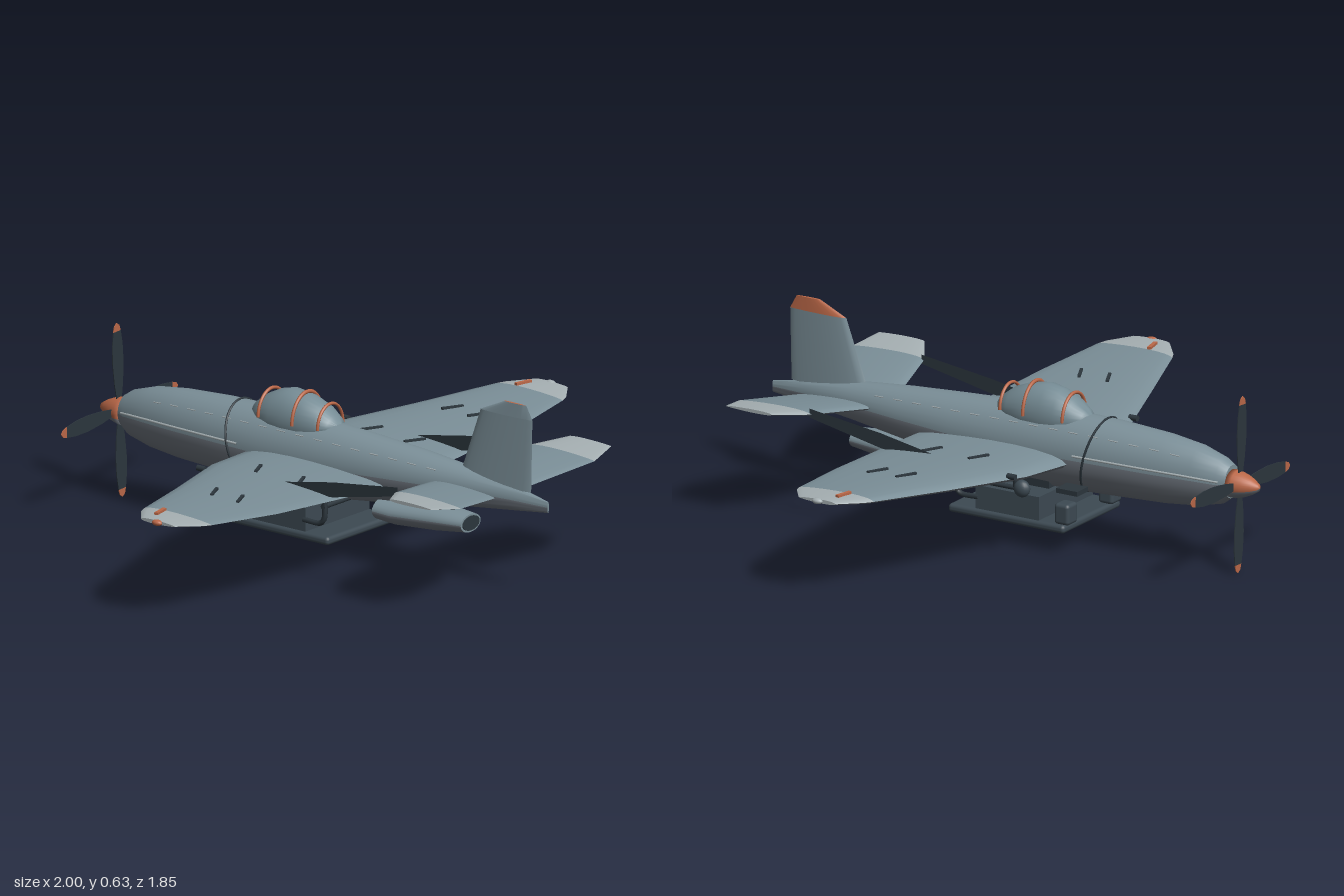
import * as THREE from 'three';
import { toCreasedNormals } from 'three/addons/utils/BufferGeometryUtils.js';
import { RoundedBoxGeometry } from 'three/addons/geometries/RoundedBoxGeometry.js';

const paint = (name, color) => Object.assign(new THREE.MeshStandardMaterial({ color }), { name });
const UP = new THREE.Vector3(0, 1, 0), LEFT = new THREE.Vector3(1, 0, 0);

export function createModel() {
  const model = new THREE.Group();
  model.name = 'propellerAircraft';
  const grey = paint('bodyGrey', 0x7b8f98);
  const under = paint('undersideGrey', 0x6e757e);
  const pale = paint('tipPaleGrey', 0xa6b0b3);
  const dark = paint('darkMetal', 0x2c363d);
  const slate = paint('equipmentSlate', 0x3d4a53);
  const glass = paint('canopyGlass', 0x768c95);
  const orange = paint('markingOrange', 0xbb6848);
  const sheet = paint('webSheet', 0x2c363d);
  sheet.side = THREE.DoubleSide;

  const add = (name, geometry, material, x = 0, y = 0, z = 0, parent = model) => {
    const mesh = new THREE.Mesh(geometry, material);
    mesh.name = name;
    mesh.position.set(x, y, z);
    parent.add(mesh);
    return mesh;
  };

  // Skin equal-length rings and cap both ends; faces turned away from dir form the second material group
  const loft = (rings, dir = UP) => {
    const n = rings[0].length, pos = rings.flat(), tris = [];
    for (let r = 0; r < rings.length - 1; r++) for (let i = 0; i < n; i++) {
      const a = r * n + i, b = r * n + (i + 1) % n;
      tris.push([a, b, a + n], [b, b + n, a + n]);
    }
    const last = (rings.length - 1) * n;
    for (let i = 1; i < n - 1; i++) tris.push([0, i + 1, i], [last, last + i, last + i + 1]);
    const volume = tris.reduce((s, [a, b, c]) => s + pos[a].dot(pos[b].clone().cross(pos[c])), 0);
    const faces = tris.map(([a, b, c]) => (volume < 0 ? [a, c, b] : [a, b, c]));
    const away = t => new THREE.Triangle(...t.map(i => pos[i])).getNormal(new THREE.Vector3()).dot(dir) < -0.02;
    const front = faces.filter(t => !away(t)), back = faces.filter(away);
    const g = new THREE.BufferGeometry().setFromPoints(pos);
    g.setIndex([...front, ...back].flat());
    g.addGroup(0, front.length * 3, 0);
    g.addGroup(front.length * 3, back.length * 3, 1);
    return toCreasedNormals(g, 0.7);
  };

  // Elliptical ring across z: [z, halfWidth, bottom, top]
  const hullPoint = ([z, w, lo, hi], a) =>
    new THREE.Vector3(w * Math.cos(a), (lo + hi) / 2 + (hi - lo) / 2 * Math.sin(a), z);
  const hullRing = (row, n = 28) => Array.from({ length: n }, (_, i) => hullPoint(row, i / n * Math.PI * 2));
  const hullLoft = rows => loft(rows.map(r => hullRing(r)));

  // Streamlined ring across x: [x, leadingZ, trailingZ, y, thickness]
  const foilRing = ([x, z0, z1, y, t], side, n = 20) => Array.from({ length: n }, (_, i) => {
    const a = i / n * Math.PI * 2, u = (1 - Math.cos(a)) / 2;
    return new THREE.Vector3(side * x, y + t / 2 * Math.sin(a) * (1.2 - 0.6 * u), z0 + (z1 - z0) * u);
  });

  // Table row interpolated between its neighbours by the first column
  const rowAt = (rows, v) => {
    const i = Math.max(1, rows.findIndex(r => r[0] >= v)), a = rows[i - 1], b = rows[i];
    return a.map((p, k) => THREE.MathUtils.lerp(p, b[k], (v - a[0]) / (b[0] - a[0])));
  };

  // Fuselage
  const hull = [
    [-0.82, 0.046, 0.255, 0.365], [-0.79, 0.058, 0.232, 0.385], [-0.7, 0.074, 0.21, 0.413],
    [-0.58, 0.09, 0.198, 0.428], [-0.4, 0.103, 0.19, 0.438], [-0.2, 0.107, 0.182, 0.441],
    [0, 0.103, 0.182, 0.438], [0.2, 0.096, 0.207, 0.427], [0.4, 0.083, 0.238, 0.414],
    [0.6, 0.057, 0.267, 0.396], [0.78, 0.027, 0.288, 0.37], [0.92, 0.004, 0.305, 0.343],
  ];
  add('fuselage', hullLoft(hull), [grey, under]);

  // Pale seam lines and dashes along the hull
  const hullLine = (name, z0, z1, angle, r) => {
    const pts = Array.from({ length: 9 }, (_, i) => hullPoint(rowAt(hull, z0 + (z1 - z0) * i / 8), angle));
    add(name, new THREE.TubeGeometry(new THREE.CatmullRomCurve3(pts), 16, r, 6), pale);
  };
  for (const mirror of [false, true]) {
    const turn = a => (mirror ? Math.PI - a : a);
    hullLine('sideSeam', -0.8, -0.28, turn(0.12), 0.004);
    for (let z = -0.66; z < 0.5; z += 0.075) hullLine('seamDash', z, z + 0.035, turn(0.72), 0.002);
  }

  // Tilted dark band behind the engine
  const band = Array.from({ length: 24 }, (_, i) => {
    const a = i / 24 * Math.PI * 2;
    return new THREE.Vector3(0.106 * Math.cos(a), 0.314 + 0.126 * Math.sin(a), -0.32 - 0.03 * Math.sin(a));
  });
  add('engineBand', new THREE.TubeGeometry(new THREE.CatmullRomCurve3(band, true), 48, 0.004, 6, true), dark);

  // Canopy and its raised frames: [z, halfWidth, height]
  add('canopy', hullLoft([[-0.29, 0.012, 0.012], [-0.27, 0.042, 0.034], [-0.23, 0.064, 0.064], [-0.18, 0.073, 0.088],
    [-0.13, 0.075, 0.1], [-0.06, 0.073, 0.09], [0, 0.064, 0.066], [0.04, 0.047, 0.036], [0.06, 0.02, 0.014]]
    .map(([z, w, h]) => [z, w, 0.42 - h, 0.42 + h])), glass);
  for (const [z, w, h] of [[-0.22, 0.07, 0.082], [-0.075, 0.077, 0.097], [0.02, 0.064, 0.075]])
    add('canopyFrame', new THREE.TorusGeometry(1, 0.07, 8, 28, Math.PI), orange, 0, 0.42, z).scale.set(w, h, 0.08);

  // Propeller: spinner with grey belly, and four blades with painted tips
  const spin = [[0, 0], [0.012, 0.005], [0.026, 0.027], [0.038, 0.055], [0.046, 0.085], [0.046, 0.105], [0, 0.105]]
    .map(([r, h]) => new THREE.Vector2(r, -h)).reverse();
  for (const [name, from, sweep, material] of [['spinner', -1.95, 3.9, orange], ['spinnerBelly', 1.95, Math.PI * 2 - 3.9, under]])
    add(name, new THREE.LatheGeometry(spin, 18, from, sweep), material, 0, 0.305, -0.925).rotation.x = -Math.PI / 2;
  const propeller = new THREE.Group();
  propeller.name = 'propeller';
  propeller.position.set(0, 0.305, -0.85);
  model.add(propeller);
  const outline = pts => new THREE.Shape(pts.map(p => new THREE.Vector2(...p)));
  const plate = pts => new THREE.ExtrudeGeometry(outline(pts), { depth: 0.003, bevelEnabled: false }).translate(0, 0, -0.0015);
  const bladeShape = [[-0.011, 0.03], [0.011, 0.03], [0.021, 0.09], [0.027, 0.16], [0.025, 0.22], [0.018, 0.265],
    [-0.018, 0.265], [-0.025, 0.22], [-0.027, 0.16], [-0.021, 0.09]];
  const tipShape = [[-0.018, 0.265], [0.018, 0.265], [0.012, 0.284], [0, 0.293], [-0.012, 0.284]];
  for (let i = 0; i < 4; i++) {
    const blade = new THREE.Group();
    blade.name = 'blade';
    blade.rotation.z = i * Math.PI / 2 + 0.05;
    propeller.add(blade);
    add('bladePanel', plate(bladeShape), dark, 0, 0, 0, blade);
    add('bladeTip', plate(tipShape), orange, 0, 0, 0, blade);
  }

  // Fin, its cap painted on the left side only: [y, frontZ, backZ, thickness]
  const fin = rows => loft(rows.map(([y, z0, z1, t]) => foilRing([y, z0, z1, 0, t], 1).map(p => new THREE.Vector3(p.y, p.x, p.z))), LEFT);
  add('fin', fin([[0.36, 0.555, 0.85, 0.04], [0.6, 0.642, 0.855, 0.02]]), grey);
  add('finCap', fin([[0.6, 0.642, 0.855, 0.02], [0.645, 0.74, 0.83, 0.01]]), [orange, grey]);

  const wingInner = [[0.092, -0.26, 0.32, 0.295, 0.07], [0.3, -0.235, 0.312, 0.305, 0.058],
    [0.6, -0.127, 0.295, 0.322, 0.044], [0.88, -0.027, 0.255, 0.343, 0.028]];
  const wingOuter = [wingInner[3], [0.91, -0.012, 0.245, 0.345, 0.025], [0.985, 0.05, 0.19, 0.35, 0.014]];
  const tailInner = [[0.085, 0.5, 0.77, 0.345, 0.03], [0.335, 0.563, 0.835, 0.382, 0.024]];
  const tailOuter = [tailInner[1], [0.45, 0.635, 0.81, 0.4, 0.012]];

  // Height of the wing's upper skin, used to lay markings on it
  const wingTop = (x, z) => {
    const [, z0, z1, y, t] = rowAt([...wingInner, ...wingOuter.slice(1)], x), u = (z - z0) / (z1 - z0);
    return y + t * Math.sqrt(u * (1 - u)) * (1.2 - 0.6 * u);
  };
  const slashes = [[0.285, -0.042], [0.285, 0.135], [0.597, 0.033], [0.597, 0.14]];

  for (const side of [1, -1]) {
    // Wings and tailplanes, pale on top of the tips
    const foil = (name, rows, top) => add(name, loft(rows.map(s => foilRing(s, side))), [top, under]);
    foil('wing', wingInner, grey);
    foil('wingTip', wingOuter, pale);
    foil('tailplane', tailInner, grey);
    foil('tailplaneTip', tailOuter, pale);
    add('tipLight', new THREE.SphereGeometry(1, 12, 8), side < 0 ? orange : pale, side * 0.986, 0.35, 0.118)
      .scale.set(0.013, 0.01, 0.02);

    // Painted slashes on the wing
    for (const [x, z] of slashes)
      add('wingMark', new THREE.BoxGeometry(0.075, 0.008, 0.01), dark, side * x, wingTop(x, z) + 0.002, z).rotation.y = -side * 0.46;
    add('tipMark', new THREE.BoxGeometry(0.06, 0.009, 0.013), orange, side * 0.91, wingTop(0.91, 0.068) + 0.003, 0.068)
      .rotation.y = -side * 0.22;

    // Thin vertical web joining wing and tailplane
    const web = [[0, 0.31], [0.1, 0.295], [0.3, 0.315], [0.57, 0.37], [0.57, 0.4], [0.3, 0.365]].map(([z, y]) => [-z, y]);
    add('tailWeb', new THREE.ShapeGeometry(outline(web)), sheet, side * 0.33).rotation.y = Math.PI / 2;

    // Underwing pod with barrel, and leading-edge stub
    add('podBall', new THREE.SphereGeometry(0.029, 16, 12), slate, side * 0.26, 0.247, -0.19).scale.x = 0.75;
    add('podMount', new THREE.CylinderGeometry(0.012, 0.012, 0.05, 10), dark, side * 0.26, 0.275, -0.17);
    add('podBarrel', new THREE.CylinderGeometry(0.008, 0.008, 0.14, 10), dark, side * 0.26, 0.245, -0.1).rotation.x = Math.PI / 2;
    add('wingStub', new THREE.CylinderGeometry(0.01, 0.01, 0.03, 10), dark, side * 0.36, 0.318, -0.215).rotation.x = Math.PI / 2;

    // Belly frame pipes and front fittings
    const pipe = new THREE.CatmullRomCurve3([[0.125, 0.27], [0.125, 0.17], [0.11, 0.152], [0.04, 0.15]]
      .map(([z, y]) => new THREE.Vector3(side * 0.157, y, z)));
    add('framePipe', new THREE.TubeGeometry(pipe, 20, 0.009, 8), dark);
    add('frontFitting', new RoundedBoxGeometry(0.06, 0.07, 0.056, 2, 0.012), slate, side * 0.13, 0.145, -0.273);
    add('frontBracket', new THREE.BoxGeometry(0.065, 0.016, 0.08), dark, side * 0.128, 0.225, -0.295);
  }

  // Belly equipment
  add('bellyBox', new THREE.BoxGeometry(0.32, 0.09, 0.24), slate, 0, 0.145, -0.07);
  add('bellyTray', new RoundedBoxGeometry(0.34, 0.028, 0.44, 2, 0.012), slate, 0, 0.098, -0.07);
  add('bellyPylon', new THREE.BoxGeometry(0.14, 0.05, 0.2), dark, 0, 0.2, -0.07);
  add('crossBar', new THREE.CylinderGeometry(0.009, 0.009, 0.33, 8), dark, 0, 0.21, 0.125).rotation.z = Math.PI / 2;

  // Rear belly duct with dark inlet and outlet
  add('bellyDuct', hullLoft([[0.26, 0.083, 0.16, 0.245], [0.33, 0.083, 0.155, 0.245], [0.48, 0.068, 0.165, 0.25],
    [0.6, 0.05, 0.18, 0.24]]), [grey, under]);
  add('ductInlet', hullLoft([[0.255, 0.074, 0.168, 0.237], [0.262, 0.074, 0.168, 0.237]]), dark);
  add('ductOutlet', hullLoft([[0.598, 0.042, 0.186, 0.234], [0.603, 0.042, 0.186, 0.234]]), dark);
  return model;
}
